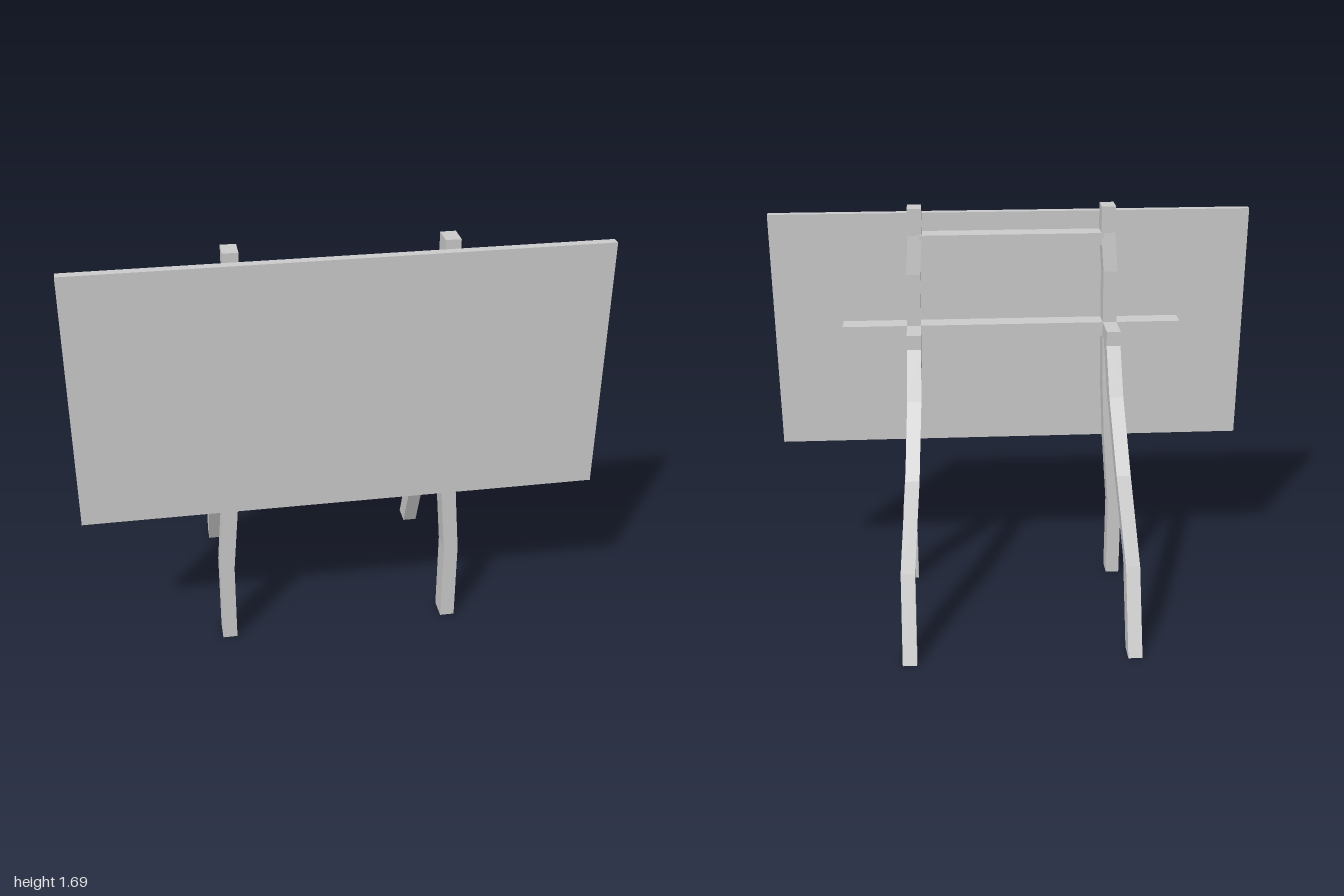
import * as THREE from 'three';

const material = new THREE.MeshStandardMaterial({ color: 0xcccccc, flatShading: true, side: THREE.DoubleSide });
const HALF_WIDTH = 0.029;

// Square beam lofted through level sections [y, x, zBack, zFront]; the foot end is left open.
function beam(name, sections, side) {
  const positions = [];
  const index = [];
  for (const [y, x, back, front] of sections) {
    const a = side * x - HALF_WIDTH;
    const b = side * x + HALF_WIDTH;
    positions.push(a, y, front, b, y, front, b, y, back, a, y, back);
  }
  const last = (sections.length - 1) * 4;
  for (let row = 0; row < last; row += 4) {
    for (let k = 0; k < 4; k++) {
      const n = (k + 1) % 4;
      index.push(row + k, row + n, row + n + 4, row + k, row + n + 4, row + k + 4);
    }
  }
  index.push(last, last + 1, last + 2, last, last + 2, last + 3);
  const geometry = new THREE.BufferGeometry();
  geometry.setAttribute('position', new THREE.Float32BufferAttribute(positions, 3));
  geometry.setIndex(index);
  const flat = geometry.toNonIndexed();
  flat.computeVertexNormals();
  const mesh = new THREE.Mesh(flat, material);
  mesh.name = name;
  return mesh;
}

// Box given by its low and high limits on each axis.
function block(name, [x0, x1], [y0, y1], [z0, z1]) {
  const mesh = new THREE.Mesh(new THREE.BoxGeometry(x1 - x0, y1 - y0, z1 - z0), material);
  mesh.position.set((x0 + x1) / 2, (y0 + y1) / 2, (z0 + z1) / 2);
  mesh.name = name;
  return mesh;
}

export function createModel() {
  const model = new THREE.Group();
  model.name = 'boardOnEasel';

  model.add(block('board', [-1, 1], [0.645, 1.655], [0.395, 0.43]));
  model.add(block('crossbar', [-0.71, 0.71], [1.14, 1.2], [0.295, 0.378]));
  model.add(block('topBar', [-0.38, 0.38], [1.53, 1.58], [0.308, 0.39]));

  // Upright posts bow inwards and step forwards near the top.
  const post = [
    [0, 0.457, 0.295, 0.38],
    [0.34, 0.457, 0.295, 0.38],
    [0.675, 0.43, 0.295, 0.38],
    [0.95, 0.416, 0.295, 0.38],
    [1.17, 0.412, 0.295, 0.38],
    [1.42, 0.409, 0.295, 0.38],
    [1.58, 0.398, 0.31, 0.395],
    [1.69, 0.398, 0.31, 0.395],
  ];
  // Rear legs sweep backwards from the arms down to the floor.
  const rearLeg = [
    [0, 0.457, -0.425, -0.34],
    [0.34, 0.457, -0.28, -0.195],
    [0.675, 0.43, -0.12, -0.035],
    [0.95, 0.416, 0.06, 0.145],
    [1.14, 0.412, 0.16, 0.25],
  ];

  for (const side of [1, -1]) {
    const label = side > 0 ? 'left' : 'right';
    model.add(beam(label + 'Post', post, side));
    model.add(beam(label + 'RearLeg', rearLeg, side));
    const x = side * 0.412;
    model.add(block(label + 'Arm', [x - HALF_WIDTH, x + HALF_WIDTH], [1.14, 1.2], [0.16, 0.3]));
  }
  return model;
}
